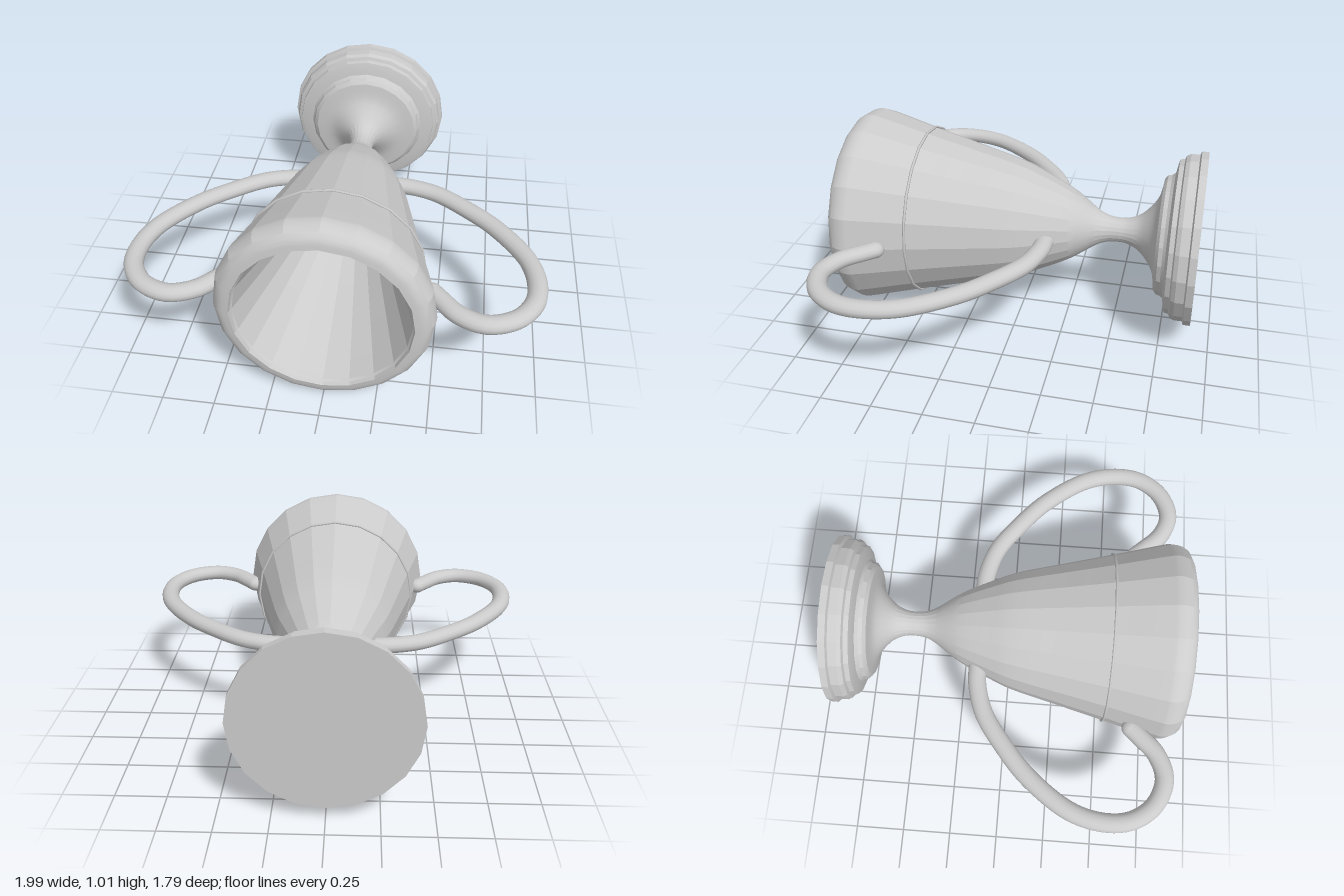
import * as THREE from 'three';
import { toCreasedNormals } from 'three/addons/utils/BufferGeometryUtils.js';

const AXIS_Y = 0.507; // height of the cup's lying axis
const SIDES = 20;
const v2 = (r, z) => new THREE.Vector2(r, z);

function mesh(name, geometry, material) {
  const m = new THREE.Mesh(geometry, material);
  m.name = name;
  return m;
}

// Revolve a (radius, z) profile around the z axis
function turned(profile) {
  const g = new THREE.LatheGeometry(profile, SIDES);
  g.rotateX(Math.PI / 2);
  return toCreasedNormals(g, 0.27);
}

// Raised five-pointed star wrapped on the underside of the cup wall
function starGeometry(cz, size) {
  const onWall = (x, z, lift) => {
    const r = 0.432 + 0.27 * (z - 0.51) + lift;
    return [x, -Math.sqrt(r * r - x * x), z];
  };
  const rim = (i) => {
    const a = (i * Math.PI) / 5;
    const s = i % 2 ? size * 0.42 : size;
    return onWall(Math.sin(a) * s, cz + Math.cos(a) * s, 0.003);
  };
  const pos = [];
  for (let i = 0; i < 10; i++) {
    pos.push(...onWall(0, cz, 0.018), ...rim(i), ...rim(i + 1));
  }
  const g = new THREE.BufferGeometry();
  g.setAttribute('position', new THREE.Float32BufferAttribute(pos, 3));
  g.computeVertexNormals();
  return g;
}

export function createModel() {
  const grey = new THREE.MeshStandardMaterial({ color: 0xcccccc, side: THREE.DoubleSide });
  const red = new THREE.MeshStandardMaterial({ color: 0x8a0c10, side: THREE.DoubleSide });
  const trophy = new THREE.Group();
  trophy.name = 'trophy';

  // Stepped foot
  const foot = [
    v2(0, -0.9), v2(0.437, -0.9), v2(0.437, -0.865), v2(0.42, -0.858),
    v2(0.42, -0.815), v2(0.41, -0.795), v2(0.392, -0.788), v2(0.388, -0.765),
    v2(0.365, -0.758), v2(0.32, -0.75), v2(0.308, -0.735), v2(0.303, -0.715), v2(0.285, -0.7),
  ];
  trophy.add(mesh('foot', turned(foot), grey));

  // Slender stem flowing into the cup wall and rolled lip
  const outer = new THREE.SplineCurve([
    v2(0.285, -0.7), v2(0.19, -0.68), v2(0.115, -0.625), v2(0.077, -0.57),
    v2(0.063, -0.5), v2(0.082, -0.405), v2(0.178, -0.26), v2(0.255, -0.1),
    v2(0.307, 0.03), v2(0.37, 0.27), v2(0.432, 0.51), v2(0.494, 0.74),
    v2(0.506, 0.8), v2(0.493, 0.85), v2(0.462, 0.884), v2(0.417, 0.895),
  ]).getPoints(75);
  trophy.add(mesh('cupWall', turned(outer), grey));

  // Conical inside with a small rounded bottom
  const inner = [
    v2(0.417, 0.895), v2(0.413, 0.875), v2(0.405, 0.865), v2(0.07, -0.22),
    v2(0.055, -0.25), v2(0.03, -0.27), v2(0, -0.275),
  ];
  trophy.add(mesh('cupInside', turned(inner), grey));

  // Thin raised band
  const band = new THREE.TorusGeometry(0.434, 0.007, 6, SIDES);
  band.translate(0, 0, 0.505);
  trophy.add(mesh('band', band, grey));

  trophy.add(mesh('star', starGeometry(0.37, 0.1), red));

  // Pair of ear-shaped handles with rounded ends
  const path = [
    [0.21, -0.15], [0.3, -0.145], [0.45, -0.1], [0.61, 0.01], [0.76, 0.145],
    [0.91, 0.36], [0.95, 0.53], [0.93, 0.66], [0.85, 0.765], [0.72, 0.812],
    [0.6, 0.77], [0.52, 0.69], [0.475, 0.64],
  ];
  for (const side of [1, -1]) {
    const handle = new THREE.Group();
    handle.name = side > 0 ? 'leftHandle' : 'rightHandle';
    const points = path.map(([x, z]) => new THREE.Vector3(x * side, 0, z));
    const curve = new THREE.CatmullRomCurve3(points);
    handle.add(mesh('handleLoop', new THREE.TubeGeometry(curve, 64, 0.047, 14), grey));
    for (const p of [points[0], points[points.length - 1]]) {
      const cap = mesh('handleEnd', new THREE.SphereGeometry(0.047, 14, 10), grey);
      cap.position.copy(p);
      handle.add(cap);
    }
    handle.scale.y = 0.84;
    handle.position.y = 0.006;
    trophy.add(handle);
  }

  trophy.position.y = AXIS_Y;
  const model = new THREE.Group();
  model.add(trophy);
  return model;
}
